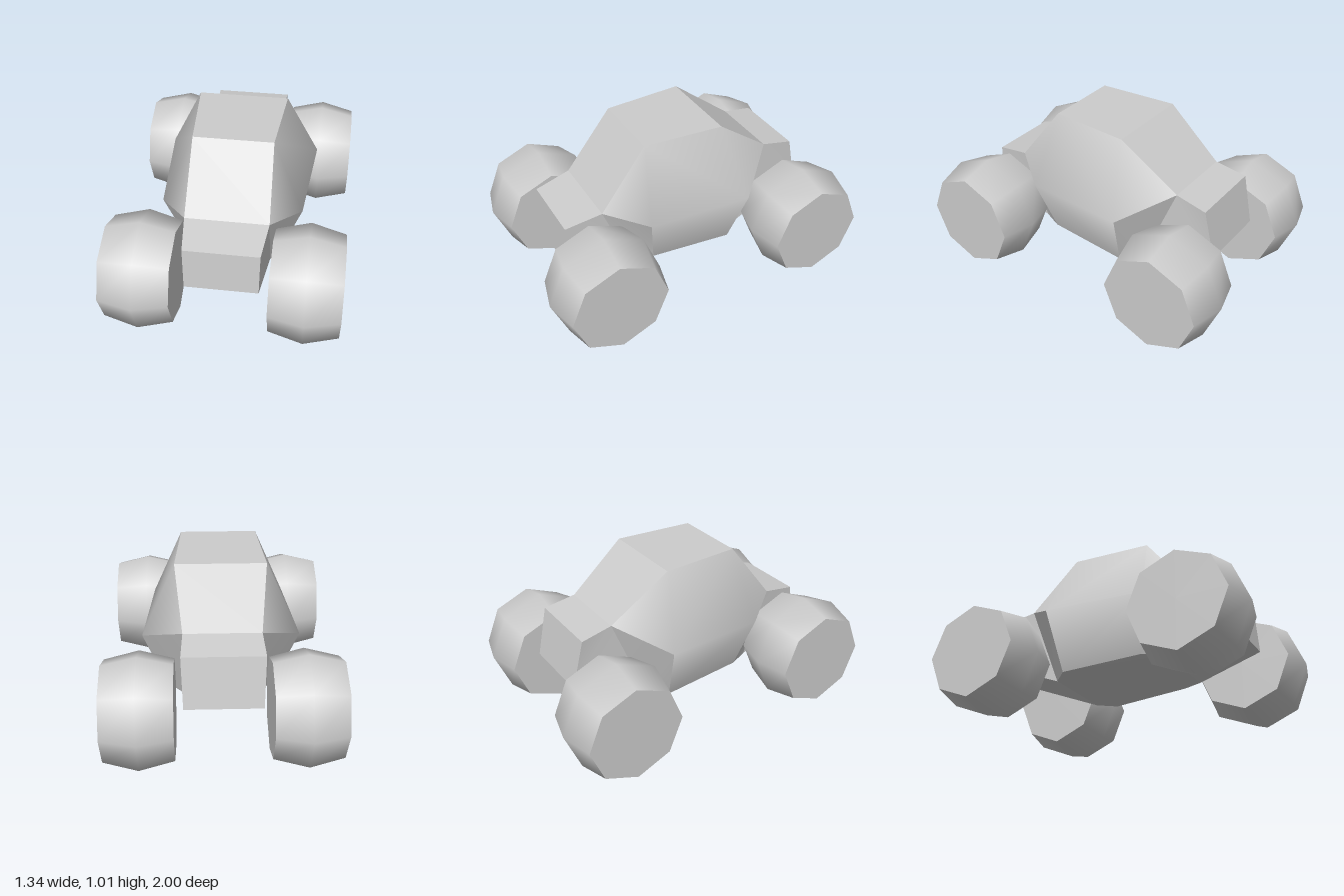
import * as THREE from 'three';
import { mergeGeometries } from 'three/addons/utils/BufferGeometryUtils.js';

const material = new THREE.MeshStandardMaterial({ color: 0xcccccc });

// Centre strip of the body, front bumper over the roof and back underneath: half width, y, z
const RING = {
  noseTop: [0.215, 0.61, 0.78],
  hoodBase: [0.24, 0.655, 0.56],
  roofFront: [0.23, 1.015, 0.28],
  roofRear: [0.265, 1.015, -0.2],
  rearBase: [0.22, 0.755, -0.545],
  trunkTop: [0.23, 0.72, -0.735],
  trunkBottom: [0.22, 0.43, -0.8],
  floorRear: [0.235, 0.235, -0.335],
  floorFront: [0.235, 0.25, 0.4],
  noseBottom: [0.21, 0.36, 0.8],
};

// Outer corners of the bulging sides
const SIDE = {
  bulgeFront: [0.41, 0.59, 0.335],
  bulgeRear: [0.46, 0.6, -0.285],
  sillFront: [0.3, 0.26, 0.27],
  sillRear: [0.33, 0.24, -0.235],
};
const P = { ...RING, ...SIDE };

// One panel with its own smooth normals; edges between panels stay sharp
function panel(points, faces = [[0, 1, 2, 3]], flip = false) {
  const index = [];
  for (const f of faces) {
    for (let i = 1; i < f.length - 1; i++) {
      index.push(...(flip ? [f[0], f[i + 1], f[i]] : [f[0], f[i], f[i + 1]]));
    }
  }
  const geometry = new THREE.BufferGeometry();
  geometry.setAttribute('position', new THREE.Float32BufferAttribute(points.flat(), 3));
  geometry.setIndex(index);
  geometry.computeVertexNormals();
  return geometry;
}

const mirrored = ([x, y, z]) => [-x, y, z];

// Panels on both sides of the car, given by corner names on the +x side
function sidePair(names, faces) {
  const points = names.map((n) => P[n]);
  return [panel(points, faces), panel(points.map(mirrored), faces, true)];
}

function add(parent, name, geometry) {
  const mesh = new THREE.Mesh(geometry, material);
  mesh.name = name;
  parent.add(mesh);
  return mesh;
}

// Eight-sided wheel, widest in the middle, axis along x
function wheelGeometry() {
  const profile = [[0.29, -0.2], [0.34, 0], [0.29, 0.2]].map(([r, y]) => new THREE.Vector2(r, y));
  const tread = new THREE.LatheGeometry(profile, 8).rotateZ(-Math.PI / 2);
  const caps = [1, -1].map((s) =>
    new THREE.CircleGeometry(0.29, 8).rotateY((s * Math.PI) / 2).translate(s * 0.2, 0, 0));
  return mergeGeometries([tread, ...caps]);
}

export function createModel() {
  const car = new THREE.Group();
  car.name = 'car';

  const body = new THREE.Group();
  body.name = 'body';
  car.add(body);

  // Hood, windshield, roof, rear slope, trunk and floor
  const ring = Object.values(RING);
  const strips = ring.map((a, i) => {
    const b = ring[(i + 1) % ring.length];
    return panel([a, b, mirrored(b), mirrored(a)]);
  });
  add(body, 'centreShell', mergeGeometries(strips));

  // Rounded cabin sides
  add(body, 'cabinSides', mergeGeometries(sidePair(
    ['hoodBase', 'bulgeFront', 'sillFront', 'sillRear', 'bulgeRear', 'rearBase', 'roofRear', 'roofFront'],
    [[0, 1, 7], [7, 1, 4, 6], [6, 4, 5], [1, 2, 3, 4]],
  )));

  // Sides of the nose and trunk, wheel arches and the floor edges
  const flatSides = {
    noseSides: ['noseTop', 'noseBottom', 'floorFront', 'hoodBase'],
    trunkSides: ['rearBase', 'floorRear', 'trunkBottom', 'trunkTop'],
    frontWheelArches: ['hoodBase', 'floorFront', 'sillFront', 'bulgeFront'],
    rearWheelArches: ['bulgeRear', 'sillRear', 'floorRear', 'rearBase'],
    floorEdges: ['floorFront', 'floorRear', 'sillRear', 'sillFront'],
  };
  for (const [name, corners] of Object.entries(flatSides)) {
    add(body, name, mergeGeometries(sidePair(corners)));
  }

  // Four wheels
  const wheel = wheelGeometry();
  for (const [xName, x] of [['Left', 0.47], ['Right', -0.47]]) {
    for (const [zName, z] of [['front', 0.66], ['rear', -0.66]]) {
      add(car, `${zName}${xName}Wheel`, wheel).position.set(x, 0.34, z);
    }
  }
  return car;
}
